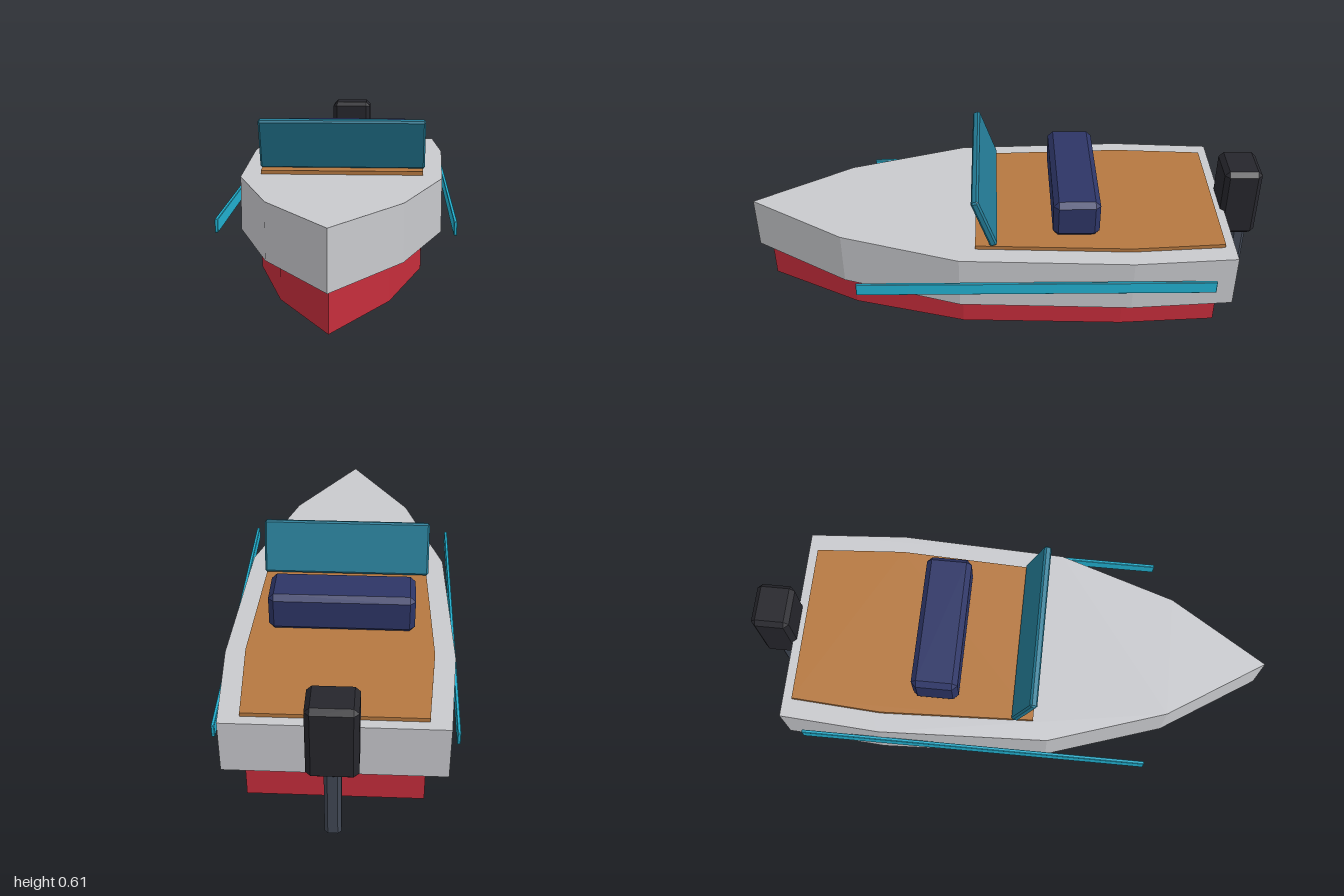
import * as THREE from 'three';
import { ConvexGeometry } from 'three/addons/geometries/ConvexGeometry.js';

const paint = (name, color) => {
  const m = new THREE.MeshStandardMaterial({ color });
  m.name = name;
  return m;
};

// Box with single flat chamfers of size c along all edges
function chamferBox(w, h, d, c) {
  const pts = [];
  for (const sx of [-1, 1]) for (const sy of [-1, 1]) for (const sz of [-1, 1]) {
    const x = w / 2, y = h / 2, z = d / 2;
    pts.push(
      new THREE.Vector3(sx * x, sy * (y - c), sz * (z - c)),
      new THREE.Vector3(sx * (x - c), sy * y, sz * (z - c)),
      new THREE.Vector3(sx * (x - c), sy * (y - c), sz * z)
    );
  }
  return new ConvexGeometry(pts);
}

// Slab from a half outline of [x, z] points (bow to stern), mirrored in x
function slab(half, y0, y1) {
  const mirrored = half.filter(p => p[0] > 0).reverse().map(([x, z]) => [-x, z]);
  const shape = new THREE.Shape([...half, ...mirrored].map(([x, z]) => new THREE.Vector2(x, z)));
  const geo = new THREE.ExtrudeGeometry(shape, { depth: y1 - y0, bevelEnabled: false });
  return geo.rotateX(Math.PI / 2).translate(0, y1, 0);
}

export function createModel() {
  const boat = new THREE.Group();
  boat.name = 'motorboat';

  const grey = paint('hull grey', 0xc8c9cd);
  const red = paint('keel red', 0xc62d3b);
  const wood = paint('deck wood', 0xb57840);
  const navy = paint('seat navy', 0x2d3566);
  const teal = paint('windshield teal', 0x237a94);
  const cyan = paint('stripe cyan', 0x22b2d2);
  const black = paint('motor black', 0x26262c);
  const slate = paint('leg slate', 0x414855);

  const add = (name, geo, mat, x = 0, y = 0, z = 0) => {
    const mesh = new THREE.Mesh(geo, mat);
    mesh.name = name;
    mesh.position.set(x, y, z);
    boat.add(mesh);
    return mesh;
  };

  // Hull: wide upper band over a narrower lower body
  const outline = [[0, 1], [0.24, 0.625], [0.39, 0.17], [0.417, -0.48], [0.39, -0.868]];
  add('upperHull', slab(outline, 0.18, 0.39), grey);
  add('lowerHull', slab(outline.map(([x, z]) => [x * 0.8, z * 0.95]), 0.03, 0.18), red);

  // Cockpit floor
  add('deck', slab([[0.318, 0.11], [0.342, -0.48], [0.318, -0.83]], 0.385, 0.405), wood);

  // Windshield leaning forward, and bench seat
  add('windshield', chamferBox(0.655, 0.21, 0.03, 0.007), teal, 0, 0.508, 0.075).rotation.x = 0.35;
  add('seat', chamferBox(0.54, 0.15, 0.177, 0.02), navy, 0, 0.48, -0.272);

  // Side stripes
  for (const s of [-1, 1]) {
    add(s > 0 ? 'leftStripe' : 'rightStripe', chamferBox(0.012, 0.05, 1.346, 0.002), cyan, s * 0.421, 0.285, -0.119);
  }

  // Outboard motor
  add('motorLeg', chamferBox(0.058, 0.3, 0.056, 0.012), slate, 0, 0.15, -0.955);
  add('motorHead', chamferBox(0.176, 0.29, 0.146, 0.018), black, 0, 0.42, -0.927);

  return boat;
}
